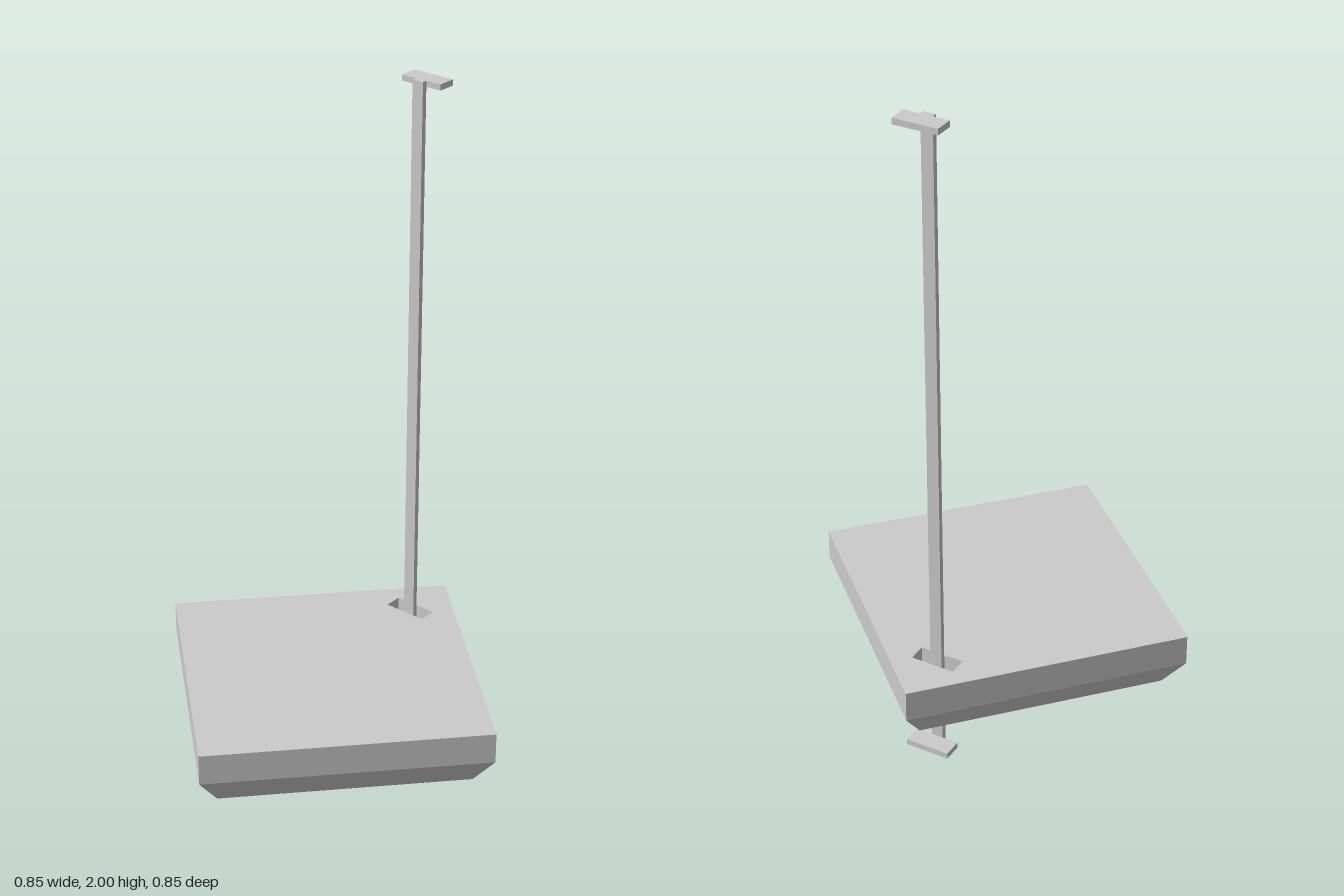
import * as THREE from 'three';

const material = new THREE.MeshStandardMaterial({ color: 0xcccccc, flatShading: true });

// Where the post passes through the slab, and how far it is turned
const POST_X = 0.295, POST_Z = -0.301, TURN = -47.6 * Math.PI / 180;

// Rectangle outline in plan (shape y is -z), optionally turned
function corners(cx, cz, halfW, halfD, angle = 0) {
  return [[-1, -1], [1, -1], [1, 1], [-1, 1]].map(([u, v]) =>
    new THREE.Vector2(u * halfW, v * halfD)
      .rotateAround(new THREE.Vector2(), angle)
      .add(new THREE.Vector2(cx, -cz)));
}

// Square slab with a turned slot and an inward-sloping lower half
function makeSlab() {
  const half = 0.426, bottomHalf = 0.372;
  const levels = [0.105, 0.195, 0.29];
  const shape = new THREE.Shape(corners(0, 0, half, half));
  shape.holes.push(new THREE.Path(corners(POST_X, POST_Z, 0.068, 0.0275, TURN)));
  const geo = new THREE.ExtrudeGeometry(shape, { depth: 2, steps: 2, bevelEnabled: false });
  geo.rotateX(-Math.PI / 2);
  const p = geo.attributes.position;
  for (let i = 0; i < p.count; i++) {
    const level = Math.round(p.getY(i));
    const outer = Math.abs(p.getX(i)) > half - 0.01;
    const s = level === 0 && outer ? bottomHalf / half : 1;
    p.setXYZ(i, p.getX(i) * s, levels[level], p.getZ(i) * s);
  }
  geo.computeVertexNormals();
  const slab = new THREE.Mesh(geo, material);
  slab.name = 'slab';
  return slab;
}

function makeBox(name, w, h, d, y, z) {
  const mesh = new THREE.Mesh(new THREE.BoxGeometry(w, h, d), material);
  mesh.position.set(0, y, z);
  mesh.name = name;
  return mesh;
}

export function createModel() {
  const model = new THREE.Group();
  model.name = 'slabOnPost';
  model.add(makeSlab());

  // Flat post with a mounting plate behind each end
  const post = new THREE.Group();
  post.name = 'post';
  post.position.set(POST_X, 0, POST_Z);
  post.rotation.y = TURN;
  post.add(makeBox('postBar', 0.037, 2, 0.0156, 1, 0));
  const thick = 0.018;
  for (const [name, y] of [['bottomPlate', thick / 2], ['topPlate', 2 - thick / 2]]) {
    post.add(makeBox(name, 0.136, thick, 0.058, y, -0.0368));
  }
  model.add(post);
  return model;
}
